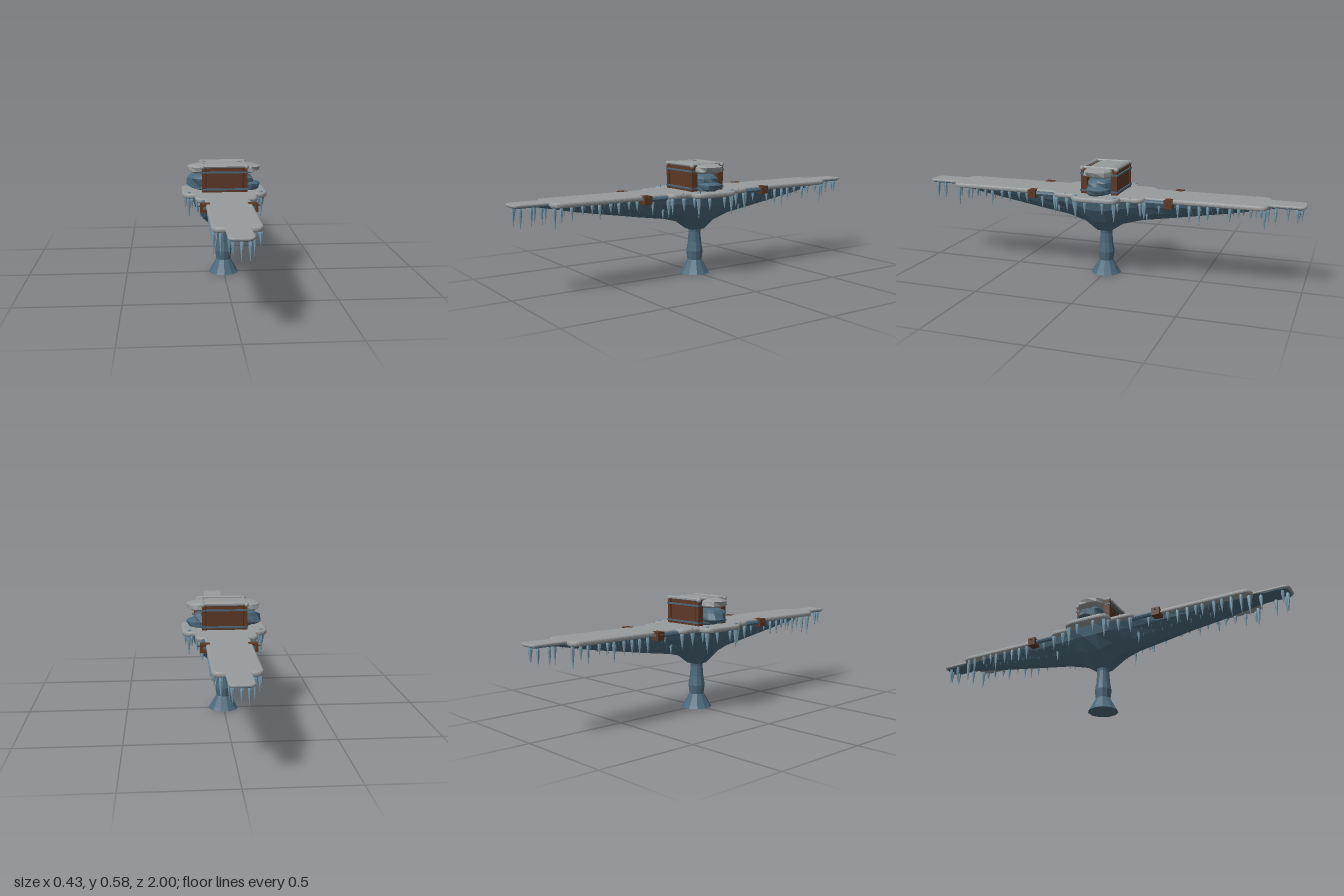
import * as THREE from 'three';

const flat = (name, color) => {
  const m = new THREE.MeshStandardMaterial({ color, flatShading: true });
  m.name = name;
  return m;
};

// repeatable noise, the same for the same position
const noise = (a, b = 0, c = 0) => {
  const s = Math.sin(a * 127.1 + b * 311.7 + c * 74.7) * 43758.5453;
  return s - Math.floor(s);
};

export function createModel() {
  const model = new THREE.Group();
  model.name = 'icePlatform';
  const stone = flat('frosted grey', 0x979b9c);
  const ice = flat('deep ice', 0x4b687a);
  const paleIce = flat('pale ice', 0x7899ab);
  const wood = flat('brown wood', 0x5c3826);
  const darkWood = flat('dark wood', 0x452a1d);

  const add = (name, geo, mat, x = 0, y = 0, z = 0, parent = model) => {
    const m = new THREE.Mesh(geo, mat);
    m.name = name;
    m.position.set(x, y, z);
    parent.add(m);
    return m;
  };
  const box = (name, mat, w, h, d, x, y, z) => add(name, new THREE.BoxGeometry(w, h, d), mat, x, y, z);

  // horizontal slab with rounded corners and rounded rim
  const slab = (name, mat, hx, hz, r, y0, y1) => {
    const b = Math.min(0.01, (y1 - y0) * 0.4);
    const x = hx - b, z = hz - b, s = new THREE.Shape();
    s.moveTo(-x + r, -z);
    s.lineTo(x - r, -z); s.quadraticCurveTo(x, -z, x, -z + r);
    s.lineTo(x, z - r); s.quadraticCurveTo(x, z, x - r, z);
    s.lineTo(-x + r, z); s.quadraticCurveTo(-x, z, -x, z - r);
    s.lineTo(-x, -z + r); s.quadraticCurveTo(-x, -z, -x + r, -z);
    const g = new THREE.ExtrudeGeometry(s, {
      depth: y1 - y0 - 2 * b, bevelSize: b, bevelThickness: b, bevelSegments: 3, curveSegments: 5,
    });
    g.rotateX(-Math.PI / 2);
    return add(name, g, mat, 0, y0 + b, 0);
  };

  // pedestal
  const column = [[0, 0], [0.077, 0], [0.068, 0.014], [0.037, 0.07], [0.043, 0.115], [0.035, 0.163], [0.031, 0.215], [0.036, 0.25]];
  add('pedestal', new THREE.LatheGeometry(column.map(p => new THREE.Vector2(...p)), 11), ice);

  // deck of four stepped slabs
  slab('deckTips', stone, 0.055, 1.0, 0.025, 0.424, 0.437);
  slab('deckTipUnderside', ice, 0.05, 0.99, 0.025, 0.42, 0.426);
  slab('longDeck', stone, 0.109, 0.83, 0.035, 0.413, 0.4372);
  slab('middleDeck', stone, 0.152, 0.24, 0.035, 0.413, 0.4374);
  slab('wideDeck', stone, 0.213, 0.125, 0.045, 0.412, 0.4376);

  // hull sections: z, half width at the top, lowest y, half width at the bottom
  const half = [[0.035, 0.165, 0.23, 0.034], [0.1, 0.155, 0.274, 0.03], [0.2, 0.115, 0.3, 0.02],
    [0.35, 0.095, 0.322, 0.016], [0.5, 0.09, 0.346, 0.014], [0.68, 0.083, 0.375, 0.012], [0.84, 0.06, 0.408, 0.012], [0.9, 0.04, 0.419, 0.01]];
  const rows = [...half.map(([z, ...r]) => [-z, ...r]).reverse(), ...half];
  const side = [[1, 1], [0.82, 0.68], [0.5, 0.33], [0, 0]];
  const profile = [...side.map(p => [...p, 1]), ...[...side].reverse().map(p => [...p, -1])];
  const pos = [], idx = [], n = profile.length;
  rows.forEach(([z, w, low, bw], i) => profile.forEach(([u, v, s], j) => {
    const wob = v > 0 && v < 1 ? (noise(i, j) - 0.5) * 0.14 : 0;
    pos.push(s * (bw + (w - bw) * (u + wob)), low + (0.422 - low) * v, z);
    if (i < rows.length - 1 && j < n - 1) {
      const a = i * n + j, b = a + n;
      idx.push(a, b, a + 1, b, b + 1, a + 1);
    }
  }));
  const hull = new THREE.BufferGeometry();
  hull.setAttribute('position', new THREE.Float32BufferAttribute(pos, 3));
  hull.setIndex(idx);
  hull.computeVertexNormals();
  add('hull', hull, ice);

  // icicles, one unit long and one unit in radius before scaling
  const spike = new THREE.LatheGeometry(
    [[0, -1], [0.4, -0.72], [0.85, -0.4], [1, -0.22], [0.72, 0], [0, 0]].map(p => new THREE.Vector2(...p)), 6);
  const icicles = new THREE.Group();
  icicles.name = 'icicles';
  model.add(icicles);
  const icicle = (x, z, len, top = 0.425, r = 0.011, mat = paleIce) => {
    const m = add('icicle', spike, mat, x, top, z, icicles);
    m.scale.set(r, len, r);
    m.rotation.y = noise(x, z) * 3;
  };
  for (const e of [1, -1]) {
    for (const x of [-0.032, 0, 0.036]) icicle(x, e * (0.978 - Math.abs(x) * 0.5), 0.07 + 0.035 * noise(x, e), 0.425, 0.009);
    for (const s of [1, -1]) {
      // rims of the tips and the long deck
      icicle(s * 0.04, e * (s * e > 0 ? 0.91 : 0.86), 0.095, 0.425, 0.009);
      icicle(s * 0.07, e * 0.812, 0.12, 0.425, 0.01);
      for (let i = 0; i < 11; i++) {
        const z = 0.78 - i * 0.048 + 0.02 * noise(i, s, e);
        if (Math.abs(z - 0.36) > 0.03) icicle(s * 0.098, e * z, 0.045 + 0.065 * noise(i, e, s), 0.42, 0.0085);
      }
      // rims of the middle and wide decks
      for (const [x, z, l] of [[0.13, 0.22, 0.09], [0.14, 0.16, 0.08]]) icicle(s * x, e * z, l);
      icicle(s * 0.145, e * 0.17, 0.022, 0.442, 0.005, stone);
      icicle(s * 0.18, e * 0.1, 0.135, 0.444, 0.012);
      icicle(s * 0.195, e * 0.045, 0.07, 0.42, 0.009);
      icicle(s * 0.165, e * 0.115, 0.06, 0.42, 0.009);
      // small shards set into the hull flanks
      for (let i = 0; i < 14; i++) {
        const z = 0.06 + i * 0.05;
        const k = half.findIndex(h => h[0] > z), a = half[k - 1], b = half[k];
        const t = (z - a[0]) / (b[0] - a[0]);
        const w = a[1] + (b[1] - a[1]) * t, low = a[2] + (b[2] - a[2]) * t;
        for (const v of [0.8, 0.5]) {
          const f = v + 0.16 * (noise(i, s, e * v) - 0.5);
          icicle(s * w * (0.15 + 0.82 * f), e * z, 0.032, low + (0.425 - low) * f, 0.0045, ice);
        }
      }
      // side rails with wooden brackets
      const rail = add('sideRail', new THREE.CylinderGeometry(0.012, 0.012, 0.15, 8), ice, s * 0.113, 0.418, e * 0.295);
      rail.rotation.x = Math.PI / 2;
      box('bracketBase', wood, 0.052, 0.015, 0.042, s * 0.109, 0.405, e * 0.358);
      box('bracketCheek', wood, 0.012, 0.04, 0.042, s * 0.129, 0.418, e * 0.358);
      box('bracketTop', wood, 0.038, 0.012, 0.036, s * 0.108, 0.432, e * 0.358);
      const peg = add('bracketPeg', new THREE.CylinderGeometry(0.004, 0.004, 0.02, 6), wood, s * 0.137, 0.425, e * 0.358);
      peg.rotation.z = Math.PI / 2;
    }
  }
  // large icicles hanging at the middle of both ends of the hull
  for (const e of [1, -1]) for (const [x, l] of [[-0.065, 0.12], [0, 0.1], [0.065, 0.12], [0.118, 0.1]])
    icicle(x, e * 0.235, l, 0.422, 0.013);

  // rough squarish boulder
  const boulder = (name, mat, hx, hy, hz, x, y, seed, rough) => {
    const g = new THREE.SphereGeometry(1, 14, 7), p = g.attributes.position;
    const q = v => Math.sign(v) * Math.pow(Math.abs(v), 0.6);
    for (let i = 0; i < p.count; i++) {
      const c = [p.getX(i), p.getY(i), p.getZ(i)].map(v => Math.round(v * 1000) / 1000 + 0);
      const k = 1 - rough * noise(c[0] + seed, c[1], c[2]);
      p.setXYZ(i, q(c[0]) * k * hx, q(c[1]) * k * hy, q(c[2]) * k * hz);
    }
    g.computeVertexNormals();
    add(name, g, mat, x, y, 0);
  };
  boulder('upperIceBlock', ice, 0.185, 0.041, 0.076, -0.017, 0.484, 1, 0.13);
  boulder('lowerIceBlock', ice, 0.185, 0.028, 0.07, 0.018, 0.459, 5, 0.13);
  boulder('snowCap', stone, 0.194, 0.028, 0.084, 0, 0.547, 9, 0.09);

  // wooden walls with posts and metal bands, front and back
  for (const e of [1, -1]) {
    box('wallPanel', wood, 0.214, 0.126, 0.026, 0, 0.5, e * 0.079);
    for (const y of [0.453, 0.538]) box('wallBand', ice, 0.23, 0.008, 0.036, 0, y, e * 0.082);
    for (const s of [1, -1]) {
      box('wallPost', wood, 0.018, 0.128, 0.033, s * 0.104, 0.501, e * 0.079);
      box('postGroove', darkWood, 0.005, 0.126, 0.006, s * 0.0925, 0.5, e * 0.091);
      const knob = add('frameCorner', new THREE.IcosahedronGeometry(0.0125, 1), stone, s * 0.109, 0.5645, e * 0.09);
      knob.rotation.y = s;
    }
    // frosted frame over the walls
    const bar = add('frameBar', new THREE.CylinderGeometry(0.009, 0.009, 0.215, 7), stone, 0, 0.567, e * 0.089);
    bar.rotation.z = Math.PI / 2;
    const cross = add('frameCrossBar', new THREE.CylinderGeometry(0.008, 0.008, 0.18, 7), stone, e * 0.106, 0.568, 0);
    cross.rotation.x = Math.PI / 2;
  }
  return model;
}
